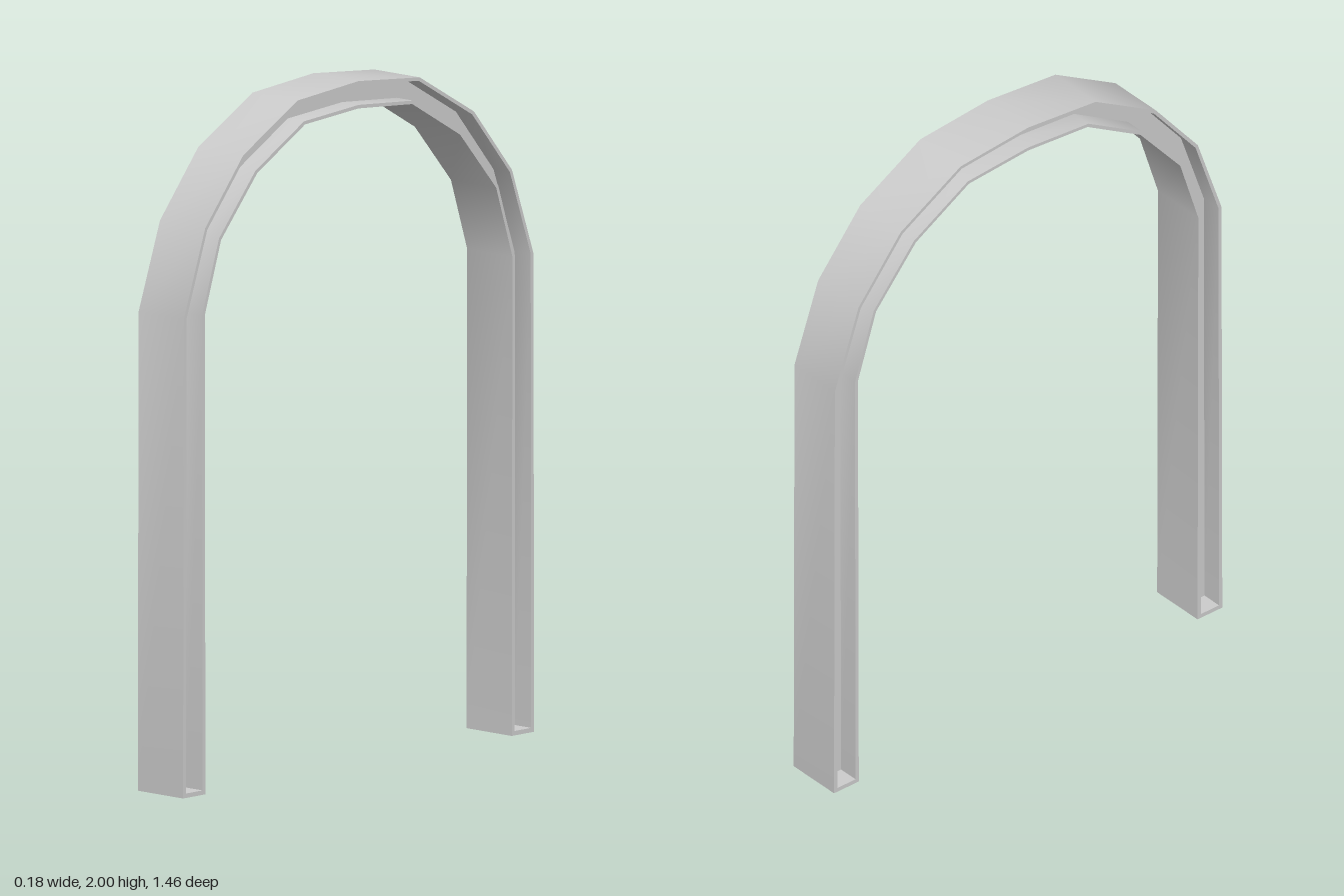
import * as THREE from 'three';
import { toCreasedNormals } from 'three/addons/utils/BufferGeometryUtils.js';

const HALF_WIDTH = 0.09; // half width of the arch band
const WEB = 0.025;       // half thickness left between the two side grooves
const RIM = 0.13;        // rim beside each groove, as a fraction of the band depth
const LIP = 0.013;       // height of the closed end of each groove

// One station: outer and inner point of the band (z, y) and the groove floor
const station = (oz, oy, iz, iy, floor = WEB) => ({ oz, oy, iz, iy, floor });

function archStations() {
  const half = [
    station(0.73, 0, 0.637, 0, HALF_WIDTH),
    station(0.73, LIP, 0.637, LIP, HALF_WIDTH),
    station(0.73, LIP, 0.637, LIP),
    station(0.727, 1.4, 0.64, 1.4),
    station(0.638, 1.655, 0.572, 1.612),
    station(0.48, 1.847, 0.422, 1.787),
    station(0.254, 1.977, 0.223, 1.903),
  ];
  const mirrored = half.map((s) => station(-s.oz, s.oy, -s.iz, s.iy, s.floor)).reverse();
  return [...half, station(0, 2, 0, 1.92), ...mirrored];
}

// H-shaped cross-section with a groove on both sides
function section({ oz, oy, iz, iy, floor }) {
  const w = HALF_WIDTH;
  const side = [[w, 0], [w, RIM], [floor, RIM], [floor, 1 - RIM], [w, 1 - RIM], [w, 1]];
  const loop = [...side, ...side.map(([x, t]) => [-x, t]).reverse()];
  return loop.map(([x, t]) => new THREE.Vector3(
    x, THREE.MathUtils.lerp(oy, iy, t), THREE.MathUtils.lerp(oz, iz, t)));
}

// Hollow skin through all sections, left open under the feet
function archGeometry() {
  const rings = archStations().map(section);
  const positions = [];
  const addTriangle = (a, b, c) => {
    if (new THREE.Triangle(a, b, c).getArea() < 1e-8) return;
    for (const p of [a, b, c]) positions.push(p.x, p.y, p.z);
  };
  for (let s = 0; s < rings.length - 1; s++) {
    const low = rings[s];
    const high = rings[s + 1];
    for (let i = 0; i < low.length; i++) {
      const j = (i + 1) % low.length;
      addTriangle(low[i], low[j], high[j]);
      addTriangle(low[i], high[j], high[i]);
    }
  }
  const geometry = new THREE.BufferGeometry();
  geometry.setAttribute('position', new THREE.Float32BufferAttribute(positions, 3));
  return toCreasedNormals(geometry, 0.6);
}

export function createModel() {
  const group = new THREE.Group();
  group.name = 'arch';
  const material = new THREE.MeshStandardMaterial({ color: 0xcccccc, side: THREE.DoubleSide });
  const arch = new THREE.Mesh(archGeometry(), material);
  arch.name = 'groovedArchFrame';
  group.add(arch);
  return group;
}
